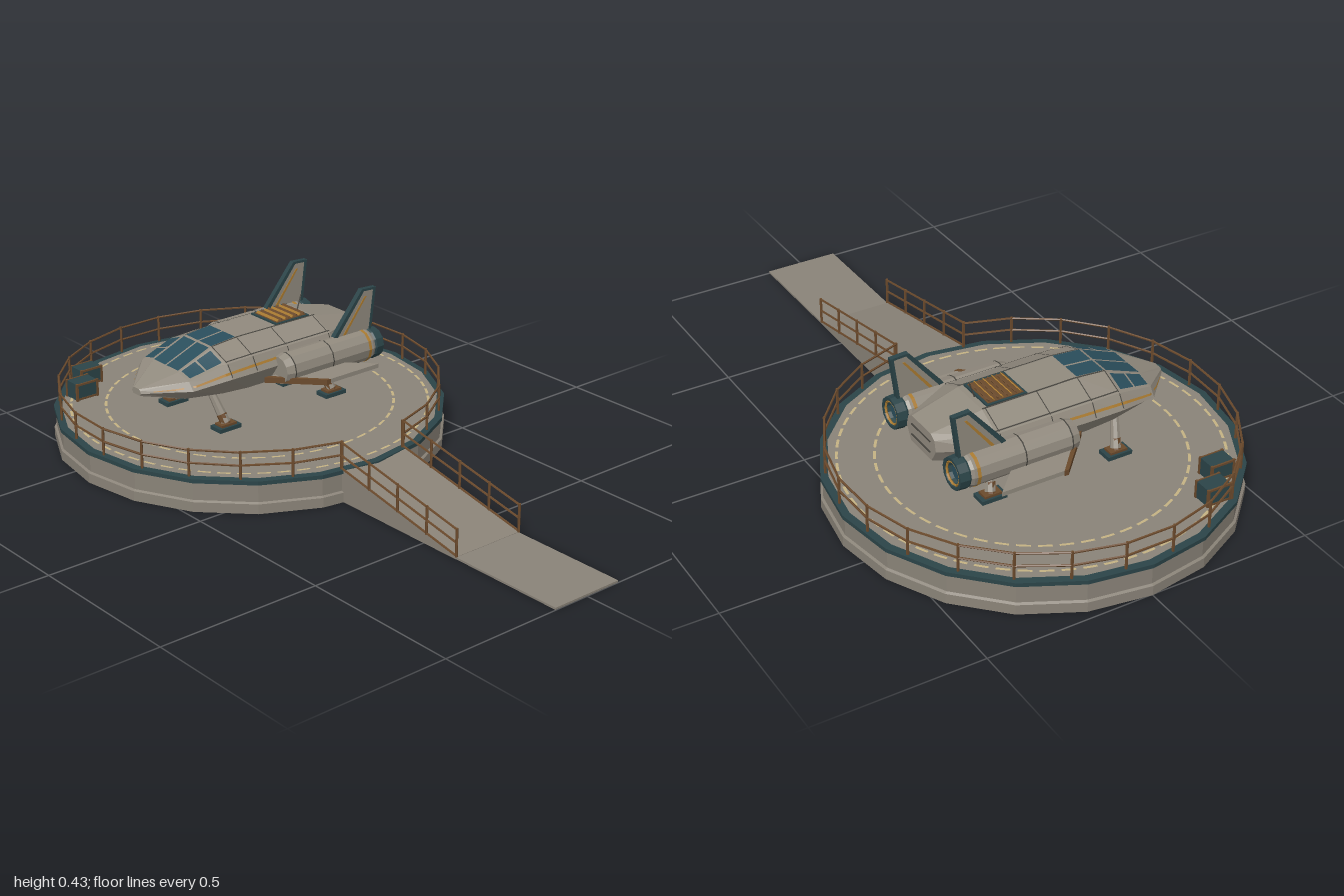
import * as THREE from 'three';
import { mergeGeometries } from 'three/addons/utils/BufferGeometryUtils.js';

const paint = (name, color, double = false) => {
  const m = new THREE.MeshStandardMaterial({ color, flatShading: true });
  m.name = name;
  if (double) m.side = THREE.DoubleSide;
  return m;
};

export function createModel() {
  const concrete = paint('concrete', 0x8a8378);
  const hullGrey = paint('hullGrey', 0x918a7e);
  const teal = paint('darkTeal', 0x2b4448);
  const glass = paint('glass', 0x2a4e5c, true);
  const rust = paint('rustBrown', 0x6b4a2c);
  const orange = paint('orange', 0xa97a30, true);
  const cream = paint('cream', 0xc4b283);
  const seam = paint('seam', 0x45433d, true);

  const model = new THREE.Group();
  const CZ = -0.41, DECK = 0.1;
  const add = (parent, name, geo, mat, x = 0, y = 0, z = 0) => {
    const m = new THREE.Mesh(geo, mat);
    m.name = name;
    m.position.set(x, y, z);
    parent.add(m);
    return m;
  };
  const group = (parent, name, x = 0, y = 0, z = 0) => {
    const g = new THREE.Group();
    g.name = name;
    g.position.set(x, y, z);
    parent.add(g);
    return g;
  };
  const box = (w, h, d) => new THREE.BoxGeometry(w, h, d);
  const lathe = (pts, n) => new THREE.LatheGeometry(pts.map(p => new THREE.Vector2(...p)), n);
  // Round bar between two points
  const bar = (a, b, r, sides = 5, r2 = r) => {
    const A = new THREE.Vector3(...a), B = new THREE.Vector3(...b), d = B.clone().sub(A);
    const g = new THREE.CylinderGeometry(r2, r, d.length(), sides);
    g.applyQuaternion(new THREE.Quaternion().setFromUnitVectors(new THREE.Vector3(0, 1, 0), d.normalize()));
    const c = A.add(B).multiplyScalar(0.5);
    return g.translate(c.x, c.y, c.z);
  };

  // ---- Landing platform
  const pad = group(model, 'platform', 0, 0, CZ);
  add(pad, 'platformBody', lathe([[0, 0], [0.593, 0], [0.593, 0.03], [0.586, 0.034], [0.586, 0.086]], 20), concrete);
  add(pad, 'platformRim', lathe([[0.586, 0.086], [0.592, 0.088], [0.592, DECK], [0.57, DECK + 0.001]], 20), teal);
  add(pad, 'deck', lathe([[0.572, DECK], [0, DECK]], 20), concrete);
  const dashes = [];
  for (const [r, n] of [[0.435, 48], [0.54, 60]])
    for (let i = 0; i < n; i++)
      dashes.push(new THREE.RingGeometry(r - 0.004, r + 0.004, 2, 1, i * 2 * Math.PI / n, 1.35 * Math.PI / n));
  add(pad, 'deckMarkings', mergeGeometries(dashes).rotateX(-Math.PI / 2), cream, 0, DECK + 0.002, 0);

  // Railing round the platform, open at the ramp
  const rails = [];
  const gap = 0.2, posts = 24, R = 0.575;
  const railAt = (i, y) => {
    const t = gap + i * (2 * Math.PI - 2 * gap) / (posts - 1);
    return [R * Math.sin(t), y, R * Math.cos(t)];
  };
  for (let i = 0; i < posts; i++) {
    rails.push(bar(railAt(i, DECK), railAt(i, 0.186), 0.0042));
    if (i < posts - 1) for (const y of [0.142, 0.182]) rails.push(bar(railAt(i, y), railAt(i + 1, y), 0.0034));
  }
  add(pad, 'platformRailing', mergeGeometries(rails), rust);

  // ---- Ramp, walkway and ramp railing
  const W = 0.117, Z0 = 0.155, Z1 = 0.63;
  const wedge = new THREE.Shape([[-Z0, 0], [-Z1, 0], [-Z1, 0.008], [-Z0, DECK]].map(p => new THREE.Vector2(...p)));
  add(model, 'ramp', new THREE.ExtrudeGeometry(wedge, { depth: 2 * W, bevelEnabled: false })
    .translate(0, 0, -W).rotateY(Math.PI / 2), concrete);
  add(model, 'walkway', box(2 * W, 0.006, 1 - Z1), concrete, 0, 0.004, (1 + Z1) / 2);
  const rampRails = [];
  for (const s of [-1, 1]) {
    const at = (t, h) => [s * W, DECK + t * (0.008 - DECK) + h, Z0 + t * (Z1 - Z0)];
    for (let i = 0; i <= 4; i++) rampRails.push(bar(at(i / 4, 0), at(i / 4, 0.086), 0.0042));
    for (const h of [0.003, 0.042, 0.082]) rampRails.push(bar(at(0, h), at(1, h), 0.0034));
  }
  add(model, 'rampRailing', mergeGeometries(rampRails), rust);

  // ---- Crates
  for (const [x, z] of [[-0.373, -0.76], [-0.3, -0.844]]) {
    const crate = group(model, 'crate', x, DECK, z);
    add(crate, 'crateBody', box(0.074, 0.052, 0.056), teal, 0, 0.027, 0);
    for (const sx of [-1, 1]) {
      for (const sz of [-1, 1]) add(crate, 'crateCorner', box(0.007, 0.055, 0.007), rust, sx * 0.036, 0.0275, sz * 0.027);
      for (const y of [0.005, 0.051]) add(crate, 'crateEdge', box(0.076, 0.006, 0.005), rust, 0, y, sx * 0.027);
    }
  }

  // ---- Ship, nose toward -x
  const ship = group(model, 'ship', 0, 0, CZ);
  // Half sections: x, then (z, y) of top edge, shoulder, side and belly edge
  const stations = [
    [-0.415, 0.012, 0.248, 0.018, 0.244, 0.022, 0.236, 0.016, 0.228],
    [-0.31, 0.062, 0.288, 0.115, 0.276, 0.134, 0.25, 0.095, 0.216],
    [-0.19, 0.064, 0.335, 0.137, 0.305, 0.163, 0.265, 0.115, 0.207],
    [-0.1, 0.064, 0.343, 0.14, 0.308, 0.164, 0.265, 0.118, 0.202],
    [0.2, 0.064, 0.341, 0.138, 0.307, 0.16, 0.265, 0.115, 0.2],
    [0.35, 0.05, 0.308, 0.07, 0.296, 0.078, 0.265, 0.055, 0.226],
  ];
  const half = s => [[0, s[2]], [s[1], s[2]], [s[3], s[4]], [s[5], s[6]], [s[7], s[8]], [0, s[8]]];
  const pos = [], idx = [], N = 10;
  for (const s of stations) {
    const h = half(s);
    for (const [z, y] of h) pos.push(s[0], y, z);
    for (let j = 4; j > 0; j--) pos.push(s[0], h[j][1], -h[j][0]);
  }
  const last = (stations.length - 1) * N;
  for (let i = 0; i < last; i += N)
    for (let j = 0; j < N; j++) {
      const a = i + j, b = i + (j + 1) % N;
      idx.push(a, b, b + N, a, b + N, a + N);
    }
  for (let j = 1; j < N - 1; j++) idx.push(0, j + 1, j, last, last + j, last + j + 1);
  const hull = new THREE.BufferGeometry();
  hull.setAttribute('position', new THREE.Float32BufferAttribute(pos, 3));
  hull.setIndex(idx);
  const hullFlat = hull.toNonIndexed();
  hullFlat.computeVertexNormals();
  add(ship, 'fuselage', hullFlat, hullGrey);

  // Thin skin panel following the hull; u runs round the section from top to belly
  const surf = (x, u, side) => {
    let i = 0;
    while (i < stations.length - 2 && x > stations[i + 1][0]) i++;
    const t = (x - stations[i][0]) / (stations[i + 1][0] - stations[i][0]);
    const A = half(stations[i]), B = half(stations[i + 1]), j = Math.min(4, Math.floor(u)), f = u - j;
    const mix = k => THREE.MathUtils.lerp(
      THREE.MathUtils.lerp(A[j][k], A[j + 1][k], f), THREE.MathUtils.lerp(B[j][k], B[j + 1][k], f), t);
    const z = mix(0), y = mix(1), lift = 0.0035;
    const nz = A[j][1] - A[j + 1][1], ny = A[j + 1][0] - A[j][0], l = Math.hypot(nz, ny);
    return new THREE.Vector3(x, y + lift * ny / l, side * (z + lift * nz / l));
  };
  const skin = (name, mat, x0, x1, ua, ub, ua2 = ua, ub2 = ub) => {
    for (const side of [-1, 1]) {
      const nx = 8, g = new THREE.PlaneGeometry(1, 1, nx, 2), p = g.attributes.position;
      for (let k = 0; k < p.count; k++) {
        const a = p.getX(k) + 0.5, b = p.getY(k) + 0.5;
        const u = THREE.MathUtils.lerp(THREE.MathUtils.lerp(ua, ua2, a), THREE.MathUtils.lerp(ub, ub2, a), b);
        const v = surf(x0 + a * (x1 - x0), u, side);
        p.setXYZ(k, v.x, v.y, v.z);
      }
      g.computeVertexNormals();
      add(ship, name, g, mat);
    }
  };
  skin('windscreen', glass, -0.308, -0.196, 0.05, 0.95);
  skin('roofWindow', glass, -0.188, -0.1, 0.05, 0.95);
  skin('sideWindow', glass, -0.303, -0.255, 1.12, 1.88);
  skin('sideWindow', glass, -0.249, -0.2, 1.12, 1.88);
  skin('sideStripe', orange, -0.39, -0.02, 2.62, 2.8, 2.45, 2.6);
  for (const x of [-0.19, -0.1, 0.03, 0.19]) {
    skin('panelSeam', seam, x, x + 0.003, 1.02, 1.98);
    skin('panelSeam', seam, x, x + 0.003, 2.02, 2.9);
  }
  skin('roofSeam', seam, -0.19, 0.2, 0.97, 1.02);
  skin('shoulderSeam', seam, -0.19, 0.2, 1.9, 1.95);
  for (const y of [0.25, 0.283]) add(ship, 'tailPanelEdge', box(0.004, 0.003, 0.1), seam, 0.351, y, 0);

  // Roof vent with slats, and aerial
  add(ship, 'ventFrame', box(0.126, 0.006, 0.122), teal, 0.12, 0.344, 0);
  add(ship, 'ventWell', box(0.112, 0.008, 0.108), rust, 0.12, 0.3445, 0);
  for (let i = 0; i < 8; i++) {
    const slat = add(ship, 'ventSlat', box(0.003, 0.011, 0.1), i % 2 ? rust : orange, 0.071 + i * 0.014, 0.35, 0);
    slat.rotation.z = -0.6;
  }
  add(ship, 'aerial', bar([0.185, 0.34, 0], [0.202, 0.39, 0], 0.002), seam);

  const plate = (pts, depth) => new THREE.ExtrudeGeometry(
    new THREE.Shape(pts.map(p => new THREE.Vector2(...p))), { depth, bevelEnabled: false }).translate(0, 0, -depth / 2);

  for (const s of [-1, 1]) {
    // Engine pod and nozzle, turned to lie along x
    const pod = group(ship, 'enginePod', -0.02, 0.25, s * 0.165);
    pod.rotation.z = -Math.PI / 2;
    add(pod, 'podBody', lathe([[0, 0], [0.042, 0], [0.05, 0.025], [0.05, 0.33], [0.044, 0.345]], 12), hullGrey);
    add(pod, 'podStripe', lathe([[0.0515, 0.312], [0.0515, 0.322]], 12), orange);
    for (const h of [0.025, 0.17]) add(pod, 'podSeam', lathe([[0.0512, h], [0.0512, h + 0.004]], 12), seam);
    add(pod, 'nozzle', lathe([[0.044, 0.335], [0.049, 0.345], [0.047, 0.373], [0.038, 0.373], [0.034, 0.352], [0, 0.352]], 12), teal);
    const ring = add(pod, 'nozzleRing', new THREE.TorusGeometry(0.034, 0.004, 4, 12), orange, 0, 0.368, 0);
    ring.rotation.x = Math.PI / 2;
    add(pod, 'nozzleCore', new THREE.CylinderGeometry(0.022, 0.024, 0.008, 12), glass, 0, 0.355, 0);
    add(ship, 'podKeel', box(0.3, 0.01, 0.035), teal, 0.14, 0.202, s * 0.155);

    // Swept wing with coloured leading edge
    const wing = (pts, t) => plate(pts.map(([x, d]) => [x, s * d]), t).rotateX(Math.PI / 2);
    add(ship, 'wing', wing([[-0.055, 0.15], [0.07, 0.282], [0.27, 0.282], [0.19, 0.2], [0.19, 0.15]], 0.013), hullGrey, 0, 0.226, 0);
    add(ship, 'wingLeadingEdge', wing([[-0.062, 0.15], [0.066, 0.285], [0.08, 0.285], [-0.044, 0.15]], 0.017), rust, 0, 0.226, 0);
    add(ship, 'wingStripe', wing([[0, 0.195], [0.012, 0.208], [0.17, 0.208], [0.17, 0.2]], 0.016), orange, 0, 0.226, 0);

    // Tail fin with edge bands and stripe
    const z = s * 0.163;
    add(ship, 'fin', plate([[0.17, 0.28], [0.2, 0.305], [0.3, 0.428], [0.353, 0.424], [0.33, 0.28]], 0.012), hullGrey, 0, 0, z);
    add(ship, 'finLeadingEdge', plate([[0.19, 0.302], [0.299, 0.43], [0.312, 0.429], [0.204, 0.298]], 0.016), teal, 0, 0, z);
    add(ship, 'finTrailingEdge', plate([[0.327, 0.295], [0.345, 0.426], [0.354, 0.426], [0.336, 0.295]], 0.016), teal, 0, 0, z);
    add(ship, 'finTopEdge', plate([[0.3, 0.43], [0.354, 0.427], [0.353, 0.42], [0.295, 0.423]], 0.015), teal, 0, 0, z);
    add(ship, 'finStripe', plate([[0.225, 0.3], [0.31, 0.405], [0.318, 0.405], [0.236, 0.3]], 0.015), orange, 0, 0, z);

    // Landing legs with foot pads
    for (const [x0, x1] of [[-0.215, -0.192], [0.188, 0.212]]) {
      const leg = group(ship, 'landingLeg');
      add(leg, 'strut', bar([x0, 0.225, s * 0.08], [x1, 0.12, s * 0.128], 0.011, 8, 0.016), hullGrey);
      add(leg, 'ankle', bar([x1 - 0.006, 0.145, s * 0.117], [x1, 0.115, s * 0.13], 0.015, 8), rust);
      add(leg, 'foot', box(0.078, 0.012, 0.048), teal, x1, 0.108, s * 0.13);
      add(leg, 'footTop', box(0.054, 0.008, 0.034), rust, x1, 0.117, s * 0.13);
    }
  }
  return model;
}
